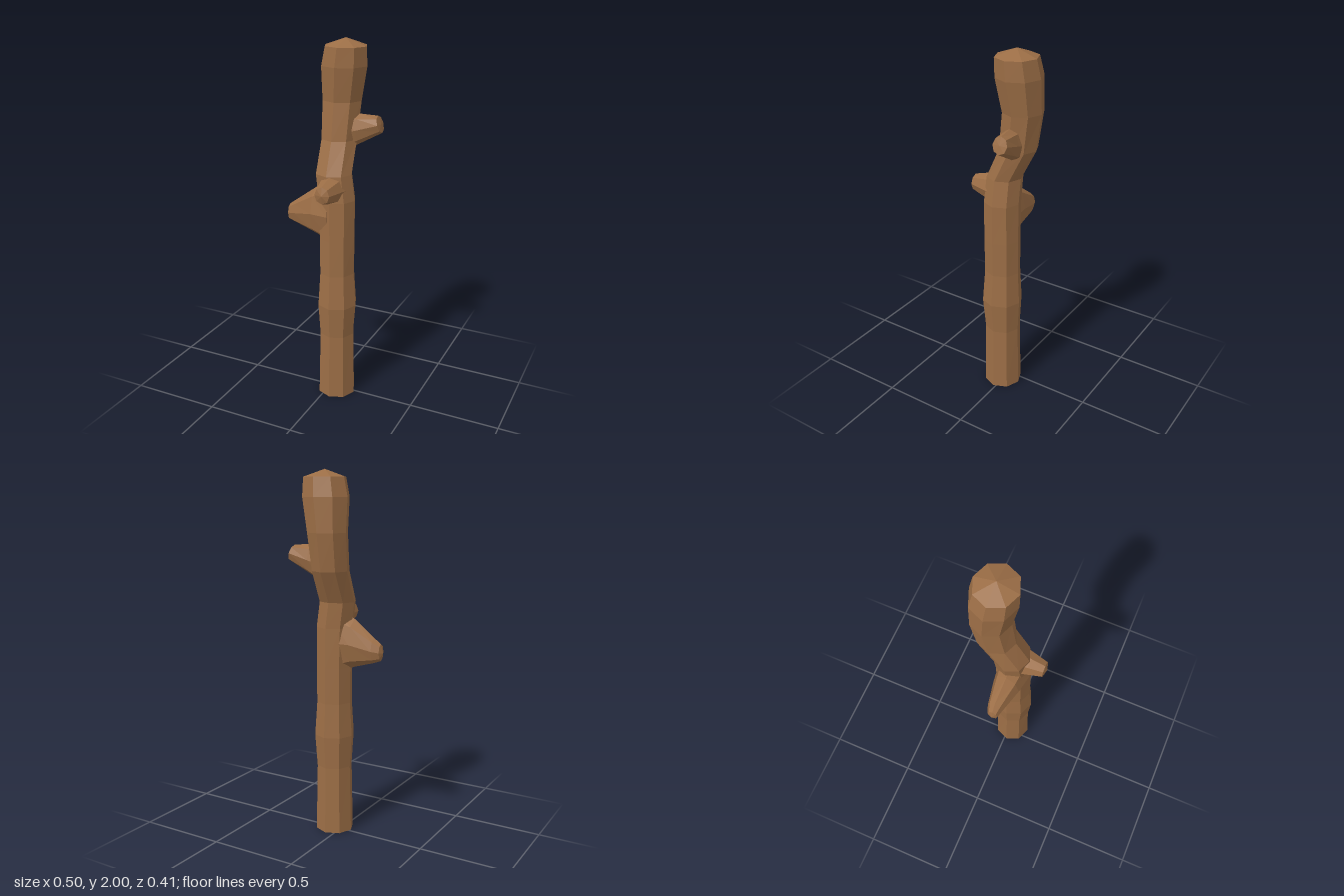
import * as THREE from 'three';

const bark = new THREE.MeshStandardMaterial({ color: 0x9c6e46, flatShading: true });
const V = (x, y, z) => new THREE.Vector3(x, y, z);

// Lofts a closed faceted limb; each ring is [centre, u, v] with u x v pointing along the limb.
// The two ends are fans around the given points.
function limb(name, rings, sides, start, end) {
  const pos = [];
  const put = (...pts) => pts.forEach((p) => pos.push(p.x, p.y, p.z));
  const loops = rings.map(([c, u, v]) => Array.from({ length: sides }, (_, i) => {
    const a = (i / sides) * Math.PI * 2;
    return c.clone().addScaledVector(u, Math.cos(a)).addScaledVector(v, Math.sin(a));
  }));
  const last = loops[loops.length - 1];
  for (let i = 0; i < sides; i++) {
    const j = (i + 1) % sides;
    for (let k = 0; k < loops.length - 1; k++) {
      const a = loops[k], b = loops[k + 1];
      put(a[i], a[j], b[j], a[i], b[j], b[i]);
    }
    put(start, loops[0][j], loops[0][i]);
    put(end, last[i], last[j]);
  }
  const geo = new THREE.BufferGeometry();
  geo.setAttribute('position', new THREE.Float32BufferAttribute(pos, 3));
  geo.computeVertexNormals();
  const mesh = new THREE.Mesh(geo, bark);
  mesh.name = name;
  return mesh;
}

export function createModel() {
  const group = new THREE.Group();
  group.name = 'woodenBranch';

  // Trunk: height, centre x, centre z, radius x, radius z
  const trunk = [
    [0, 0.048, 0.015, 0.107, 0.106],
    [0.38, 0.048, 0.015, 0.098, 0.1],
    [0.56, 0.05, 0.017, 0.111, 0.112],
    [0.75, 0.048, 0.015, 0.098, 0.1],
    [0.95, 0.048, 0.015, 0.1, 0.1],
    [1.17, 0.045, 0.015, 0.103, 0.1],
    [1.31, 0.025, 0.012, 0.102, 0.097],
    [1.48, 0.02, -0.068, 0.1, 0.104],
    [1.68, 0.022, -0.095, 0.11, 0.107],
    [1.86, 0.038, -0.083, 0.128, 0.122],
    [1.96, 0.05, -0.075, 0.115, 0.112],
  ].map(([y, x, z, rx, rz]) => [V(x, y, z), V(0, 0, rz), V(rx, 0, 0)]);
  group.add(limb('trunk', trunk, 8, V(0.048, 0, 0.015), V(0.05, 2, -0.075)));

  // Thick stub on the right: x, centre y, centre z, radius z, radius y
  const rightStub = [
    [0.03, 1.09, 0.025, 0.09, 0.18],
    [-0.075, 1.087, 0.022, 0.073, 0.132],
    [-0.2, 1.06, 0.012, 0.042, 0.068],
    [-0.24, 1.053, 0.014, 0.028, 0.046],
  ].map(([x, y, z, rz, ry]) => [V(x, y, z), V(0, 0, rz), V(0, ry, 0)]);
  group.add(limb('rightStub', rightStub, 8, V(0.03, 1.09, 0.025), V(-0.253, 1.05, 0.014)));

  // Upper stub on the left: x, centre y, centre z, radius y, radius z, end tilt
  const leftStub = [
    [0.03, 1.51, -0.08, 0.115, 0.06, 0],
    [0.125, 1.535, -0.084, 0.081, 0.053, 0],
    [0.237, 1.567, -0.098, 0.044, 0.043, -0.013],
  ].map(([x, y, z, ry, rz, t]) => [V(x, y, z), V(t, ry, 0), V(0, 0, rz)]);
  group.add(limb('leftStub', leftStub, 8, V(0.03, 1.51, -0.08), V(0.241, 1.568, -0.098)));

  // Short stub on the front: z, centre y, radius x, radius y
  const frontStub = [
    [0.03, 1.235, 0.085, 0.09],
    [0.11, 1.235, 0.064, 0.07],
    [0.19, 1.235, 0.043, 0.046],
  ].map(([z, y, rx, ry]) => [V(0.041, y, z), V(rx, 0, 0), V(0, ry, 0)]);
  group.add(limb('frontStub', frontStub, 8, V(0.041, 1.235, 0.03), V(0.043, 1.235, 0.202)));

  return group;
}
